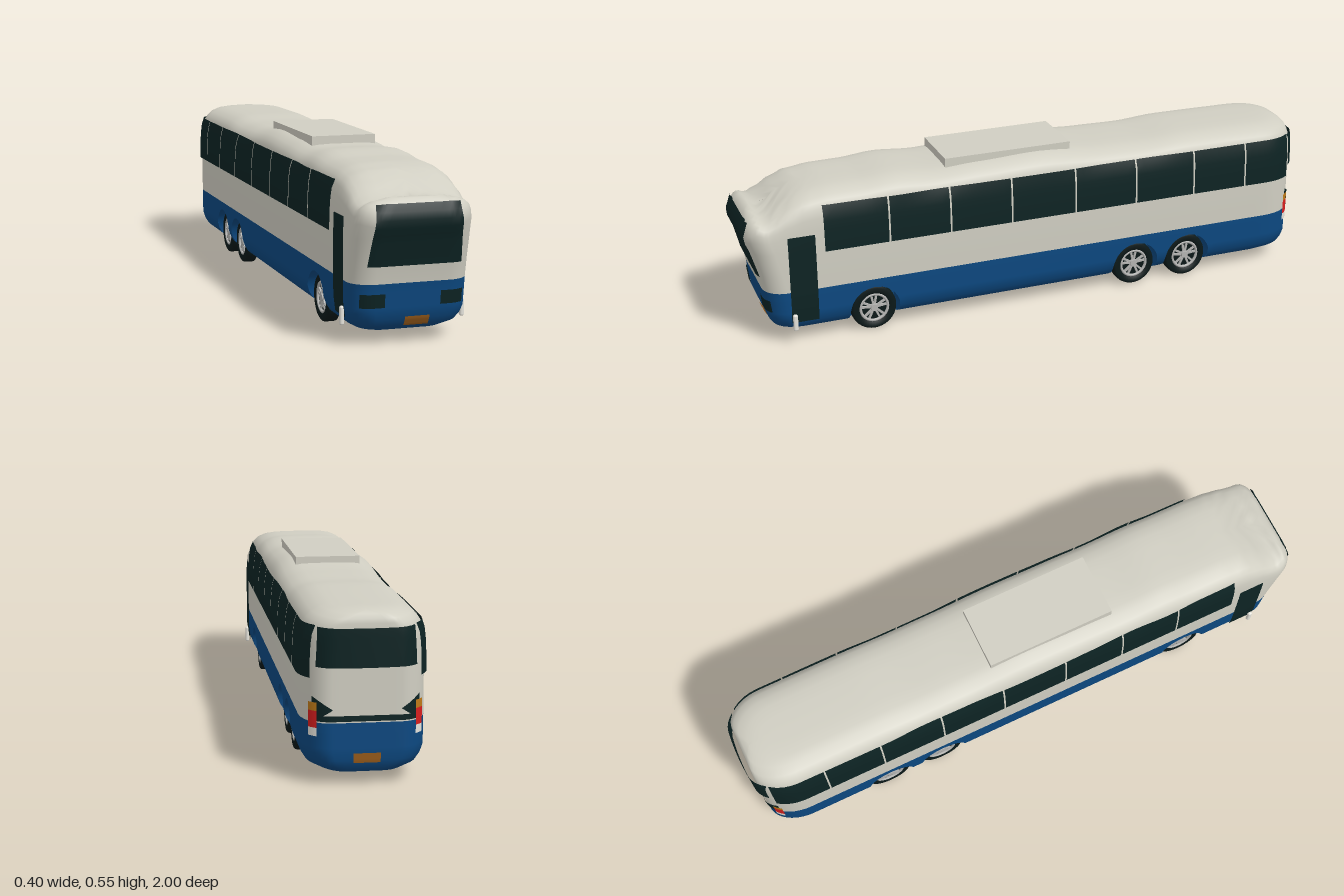
import * as THREE from 'three';
import { mergeVertices } from 'three/addons/utils/BufferGeometryUtils.js';
import { RoundedBoxGeometry } from 'three/addons/geometries/RoundedBoxGeometry.js';

const paint = (name, color, side = THREE.FrontSide) =>
  Object.assign(new THREE.MeshStandardMaterial({ color, side }), { name });

// Body levels: [height, half width, front z, back z]
const PROFILE = [
  [.034, 0, .84, -.9], [.034, .11, .86, -.93], [.038, .135, .89, -.955], [.057, .166, .92, -.972],
  [.077, .178, .932, -.977], [.1, .185, .94, -.98], [.19, .186, .951, -.98], [.25, .186, .963, -.98],
  [.33, .186, .983, -.98], [.4, .184, .998, -.98], [.44, .181, 1, -.98], [.472, .175, .998, -.98],
  [.49, .163, .993, -.979], [.505, .148, .985, -.977], [.518, .12, .972, -.968],
  [.523, .09, .955, -.95], [.525, .05, .93, -.93], [.525, 0, .9, -.9]];
// Roof line: [z, height]
const ROOF = [[-1, .512], [-.9, .519], [-.55, .522], [-.4, .513], [-.25, .516], [0, .532], [.2, .525],
  [.36, .517], [.5, .527], [.62, .517], [.72, .516], [.8, .506], [.86, .48], [.9, .452], [.935, .437],
  [.965, .453], [.985, .442], [1, .425]];
const SHOULDER = .33, CROWN = .525, BELT = .19, FLOOR = .034;
const AXLES = [.59, -.355, -.555], WHEEL_Y = .077, ARCH = .085;
const FRONT = { rx: .07, rz: .07 }, BACK = { rx: .085, rz: .13 };
const lerp = THREE.MathUtils.lerp;

function roofY(z) {
  let i = 0;
  while (i < ROOF.length - 2 && z > ROOF[i + 1][0]) i++;
  const t = THREE.MathUtils.clamp((z - ROOF[i][0]) / (ROOF[i + 1][0] - ROOF[i][0]), 0, 1);
  return lerp(ROOF[i][1], ROOF[i + 1][1], t * t * (3 - 2 * t));
}
function section(v) {
  let i = 1;
  while (i < PROFILE.length - 3 && v > PROFILE[i + 1][0]) i++;
  const a = PROFILE[i], b = PROFILE[i + 1];
  const t = THREE.MathUtils.clamp((v - a[0]) / (b[0] - a[0]), 0, 1);
  return a.map((n, k) => lerp(n, b[k], t));
}
// Levels above the shoulder stretch to meet the wavy roof line
const heightAt = (v, z) => v <= SHOULDER ? v
  : SHOULDER + (v - SHOULDER) / (CROWN - SHOULDER) * (roofY(z) - SHOULDER);
const levelAt = (y, z) => y <= SHOULDER ? y
  : SHOULDER + (y - SHOULDER) * (CROWN - SHOULDER) / (roofY(z) - SHOULDER);
const bend = q => Math.sqrt(Math.max(0, 1 - q * q));

// Half width of the body at a given z and y
function sideX(z, y) {
  const [, hw, zf, zb] = section(levelAt(y, z));
  const c = z > 0 ? FRONT : BACK;
  const d = z > 0 ? z - (zf - c.rz) : zb + c.rz - z;
  return d <= 0 ? hw : hw - c.rx + c.rx * bend(Math.min(1, d / c.rz));
}
// Front (sign 1) or back (sign -1) surface at a given x and y
function endZ(x, y, sign) {
  const c = sign > 0 ? FRONT : BACK;
  let z = sign * .98;
  for (let k = 0; k < 4; k++) {
    const [, hw, zf, zb] = section(levelAt(y, z));
    const d = Math.max(0, Math.abs(x) - (hw - c.rx));
    z = (sign > 0 ? zf : zb) - sign * c.rz * (1 - bend(d / c.rx));
  }
  return z;
}

// Sheet swept by a rule point(s, t) with s and t from 0 to 1
function sheet(name, material, nu, nv, point) {
  const pos = [], index = [];
  for (let j = 0; j <= nv; j++) for (let i = 0; i <= nu; i++) pos.push(...point(i / nu, j / nv));
  for (let j = 0; j < nv; j++) for (let i = 0; i < nu; i++) {
    const a = j * (nu + 1) + i, d = a + nu + 1;
    index.push(a, a + 1, d + 1, a, d + 1, d);
  }
  const g = new THREE.BufferGeometry();
  g.setAttribute('position', new THREE.Float32BufferAttribute(pos, 3));
  g.setIndex(index);
  g.computeVertexNormals();
  const mesh = new THREE.Mesh(g, material);
  mesh.name = name;
  return mesh;
}

// Shell of stacked rounded outlines, with open wheel arches
function bodyGeometry() {
  const extra = [.115, .13, .142, .151, .158, WHEEL_Y + ARCH].map(section);
  const rows = [...PROFILE.slice(0, 6), ...extra, ...PROFILE.slice(6)];
  const pos = [], index = [], archCells = new Set();
  let n = 0;
  for (const [v, hw, zf, zb] of rows) {
    const half = [];
    const fx = Math.min(FRONT.rx, hw), bx = Math.min(BACK.rx, hw);
    for (let i = 0; i < 5; i++) half.push([(hw - fx) * i / 5, zf]);
    for (let i = 0; i <= 8; i++) {
      const a = i / 8 * Math.PI / 2;
      half.push([hw - fx + fx * Math.sin(a), zf - FRONT.rz * (1 - Math.cos(a))]);
    }
    const e = v < WHEEL_Y ? ARCH : ARCH * bend(Math.min(1, (v - WHEEL_Y) / ARCH));
    const stops = [zf - FRONT.rz, ...AXLES.flatMap(z => [z + e, z - e]), zb + BACK.rz];
    [12, 1, 28, 1, 6, 1, 8].forEach((count, s) => {
      if (s % 2) archCells.add(half.length - 1);
      for (let i = 1; i <= count; i++) half.push([hw, lerp(stops[s], stops[s + 1], i / count)]);
    });
    for (let i = 1; i <= 10; i++) {
      const a = i / 10 * Math.PI / 2;
      half.push([hw - bx + bx * Math.cos(a), zb + BACK.rz * (1 - Math.sin(a))]);
    }
    for (let i = 1; i <= 4; i++) half.push([(hw - bx) * (1 - i / 4), zb]);
    n = half.length * 2;
    const ring = [...half, ...half.map(([x, z]) => [-x, z]).reverse()];
    for (const [x, z] of ring) pos.push(x, heightAt(v, z), z);
  }
  let split = 0;
  for (let r = 0; r < rows.length - 1; r++) {
    if (rows[r][0] === BELT) split = index.length;
    const open = r > 0 && rows[r + 1][0] <= WHEEL_Y + ARCH + 1e-6;
    for (let j = 0; j < n; j++) {
      if (open && (archCells.has(j) || archCells.has(n - 2 - j))) continue;
      const a = r * n + j, b = r * n + (j + 1) % n;
      index.push(a, b, b + n, a, b + n, a + n);
    }
  }
  let g = new THREE.BufferGeometry();
  g.setAttribute('position', new THREE.Float32BufferAttribute(pos, 3));
  g.setIndex(index);
  g = mergeVertices(g, 1e-5);
  g.computeVertexNormals();
  g.addGroup(0, split, 0);
  g.addGroup(split, index.length - split, 1);
  return g;
}

export function createModel() {
  const bus = new THREE.Group();
  bus.name = 'bus';
  const two = THREE.DoubleSide;
  const blue = paint('lower blue', 0x0c4880, two), cream = paint('body cream', 0xd0cec2);
  const glass = paint('dark glass', 0x0d2323, two), rubber = paint('tyre rubber', 0x0b1818);
  const metal = paint('rim metal', 0xb4b4b2), amber = paint('plate amber', 0x9c5e1c, two);
  const red = paint('tail red', 0xd81e1e, two), orange = paint('signal orange', 0xc07a18, two);
  const white = paint('lamp white', 0xe6e4dc, two);
  const add = (name, g, m, x = 0, y = 0, z = 0, parent = bus) => {
    const mesh = new THREE.Mesh(g, m);
    mesh.name = name;
    mesh.position.set(x, y, z);
    parent.add(mesh);
    return mesh;
  };

  add('body', bodyGeometry(), [blue, cream]);
  add('roofUnit', new THREE.BoxGeometry(.216, .045, .445), cream, 0, .5225, .0925);

  // Plates that follow the sides, front or back
  const sidePlate = (name, m, s, z0, z1, y0, y1, off) => bus.add(sheet(name, m, 8, 6, (u, t) => {
    const z = lerp(z0, z1, u), y = lerp(y0, y1, t);
    return [s * (sideX(z, y) + off), y, z];
  }));
  const endPlate = (name, m, sign, x0, x1, y0, y1, off = .004, taper = 0, bulge = 0) =>
    bus.add(sheet(name, m, 20, 8, (u, t) => {
      const y = lerp(y0, y1, t), x = lerp(x0, x1, u) * (1 - taper * t);
      return [x, y, endZ(x, y, sign) + sign * (off + bulge * (1 - (2 * u - 1) ** 2))];
    }));

  const seams = [.755, .535, .325, .11, -.12, -.345, -.565, -.765, -.952];
  for (const s of [1, -1]) {
    for (let i = 0; i < seams.length - 1; i++)
      sidePlate('sideWindow', glass, s, seams[i] - .003, seams[i + 1] + .003, .32, .474, .008);
    sidePlate('door', glass, s, .872, .782, .08, .382, .005);
    sidePlate('tailLampWhite', white, s, -.942, -.966, .15, .175, .006);
    sidePlate('tailLampRed', red, s, -.942, -.966, .175, .225, .006);
    sidePlate('tailLampOrange', orange, s, -.942, -.966, .225, .25, .006);
    endPlate('headlight', glass, 1, s * .087, s * .161, .118, .16);
    // Pointed dark surround beside each tail lamp
    bus.add(sheet('tailSurround', glass, 6, 4, (u, t) => {
      const x = s * lerp(.1, .158, u), y = .23 + (t - .5) * .075 * u;
      return [x, y, endZ(x, y, -1) - .004];
    }));
    add('doorHandle', new RoundedBoxGeometry(.014, .058, .016, 3, .006), white, s * .191, .084, .862);
  }
  endPlate('windshield', glass, 1, -.147, .147, .245, .432, .005, .115);
  endPlate('frontPlate', amber, 1, -.02, .057, .055, .086);
  endPlate('rearWindow', glass, -1, -.148, .148, .355, .47, .005, .04, .014);
  endPlate('rearTrim', glass, -1, -.15, .15, .195, .212);
  endPlate('rearPlate', amber, -1, -.04, .04, .07, .1);

  // Wheels with five paired spokes, inside lined wells
  const tyreShape = [[.05, -.022], [.07, -.022], [.0755, -.018], [.077, -.012], [.077, .012],
    [.0755, .018], [.07, .022], [.052, .022], [.05, .012]].map(p => new THREE.Vector2(...p));
  const tyreG = new THREE.LatheGeometry(tyreShape, 40).rotateZ(-Math.PI / 2);
  const discG = new THREE.CylinderGeometry(.051, .051, .024, 32).rotateZ(Math.PI / 2);
  const rimG = new THREE.TorusGeometry(.047, .005, 8, 36).rotateY(Math.PI / 2);
  const hubG = new THREE.CylinderGeometry(.012, .014, .01, 20).rotateZ(-Math.PI / 2);
  const spokeG = new THREE.BoxGeometry(.006, .038, .007).translate(0, .028, 0);
  for (const s of [1, -1]) for (const z of AXLES) {
    const wheel = new THREE.Group();
    wheel.name = 'wheel';
    wheel.position.set(s * .145, WHEEL_Y, z);
    if (s < 0) wheel.rotation.y = Math.PI;
    bus.add(wheel);
    add('tyre', tyreG, rubber, 0, 0, 0, wheel);
    add('wheelDisc', discG, rubber, 0, 0, 0, wheel);
    add('rim', rimG, metal, .017, 0, 0, wheel);
    add('hub', hubG, metal, .017, 0, 0, wheel);
    for (let i = 0; i < 10; i++)
      add('spoke', spokeG, metal, .015, 0, 0, wheel).rotation.x =
        Math.floor(i / 2) * Math.PI * .4 + (i % 2 ? .2 : -.2);
    const arch = u => {
      const a = (u * 1.25 - .125) * Math.PI;
      return a < 0 || a > Math.PI
        ? [z + ARCH * (a < 0 ? 1 : -1), lerp(FLOOR, WHEEL_Y, a < 0 ? u * 10 : (1 - u) * 10)]
        : [z + ARCH * Math.cos(a), WHEEL_Y + ARCH * Math.sin(a)];
    };
    bus.add(sheet('wheelWell', blue, 40, 1, (u, t) => {
      const [az, y] = arch(u);
      return [s * lerp(.11, sideX(az, y), t), y, az];
    }));
    bus.add(sheet('wheelWellWall', blue, 40, 1, (u, t) => {
      const [az, y] = arch(u);
      return [s * .11, lerp(FLOOR, y, t), az];
    }));
  }
  return bus;
}
